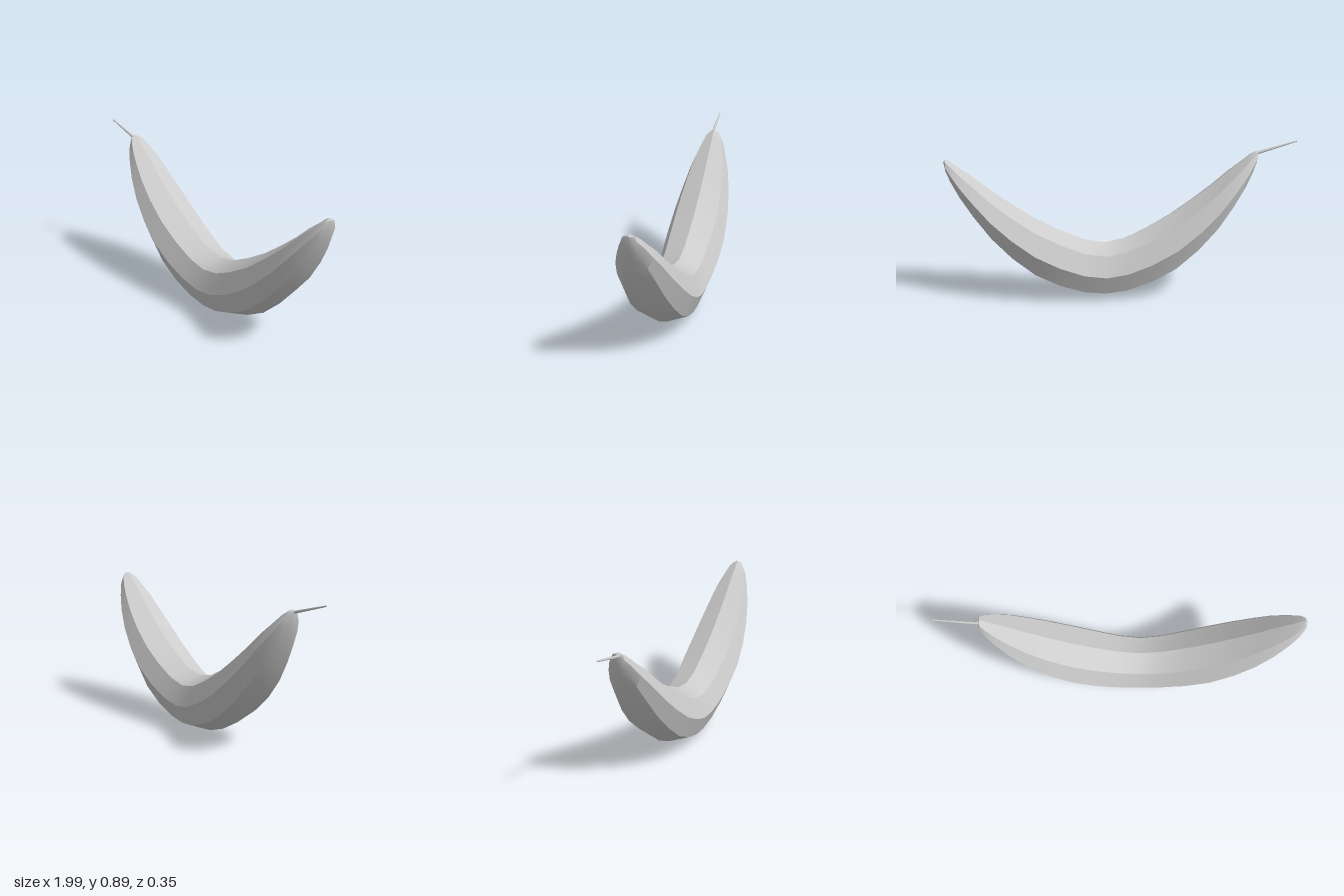
import * as THREE from 'three';
import { toCreasedNormals } from 'three/addons/utils/BufferGeometryUtils.js';

const MID_X = 0.11;
const SIDES = 8;

// Half of the body: distance from the middle, spine height, radius
const HALF = [
  [0, 0.165, 0.16], [0.125, 0.185, 0.165], [0.262, 0.24, 0.174], [0.4, 0.315, 0.177],
  [0.53, 0.415, 0.167], [0.64, 0.517, 0.148], [0.73, 0.62, 0.122], [0.8, 0.704, 0.09],
  [0.845, 0.768, 0.062], [0.87, 0.805, 0.036], [0.882, 0.832, 0],
];

// Eight-sided rings, upright, strung along a curved spine
function bodyGeometry() {
  const rings = [
    ...HALF.slice(1).reverse().map(([u, y, r]) => [MID_X - u, y, r]),
    ...HALF.map(([u, y, r]) => [MID_X + u, y, r]),
  ];
  const positions = [];
  const index = [];
  for (const [x, y, r] of rings) {
    for (let k = 0; k < SIDES; k++) {
      const a = (k / SIDES) * Math.PI * 2;
      positions.push(x, y + r * Math.cos(a), r * Math.sin(a));
    }
  }
  for (let i = 0; i < rings.length - 1; i++) {
    for (let k = 0; k < SIDES; k++) {
      const next = (k + 1) % SIDES;
      const a = i * SIDES + k;
      const d = i * SIDES + next;
      const b = a + SIDES;
      const c = d + SIDES;
      // the first and last rings are points, so they get single triangles
      if (i > 0) index.push(a, d, b);
      if (i < rings.length - 2) index.push(d, c, b);
      else continue;
      if (i === 0) continue;
    }
  }
  const geometry = new THREE.BufferGeometry();
  geometry.setAttribute('position', new THREE.Float32BufferAttribute(positions, 3));
  geometry.setIndex(index);
  return toCreasedNormals(geometry, THREE.MathUtils.degToRad(30));
}

export function createModel() {
  const group = new THREE.Group();
  group.name = 'banana';
  const material = new THREE.MeshStandardMaterial({ color: 0xcccccc });

  const body = new THREE.Mesh(bodyGeometry(), material);
  body.name = 'body';
  group.add(body);

  // Thin tapered stem leaving the left-hand tip
  const base = new THREE.Vector3(-0.755, 0.822, 0.01);
  const tip = new THREE.Vector3(-0.999, 0.887, 0.016);
  const axis = tip.clone().sub(base);
  const stem = new THREE.Mesh(new THREE.CylinderGeometry(0.004, 0.009, axis.length(), 6), material);
  stem.name = 'stem';
  stem.position.copy(base).add(tip).multiplyScalar(0.5);
  stem.quaternion.setFromUnitVectors(new THREE.Vector3(0, 1, 0), axis.normalize());
  group.add(stem);

  return group;
}
